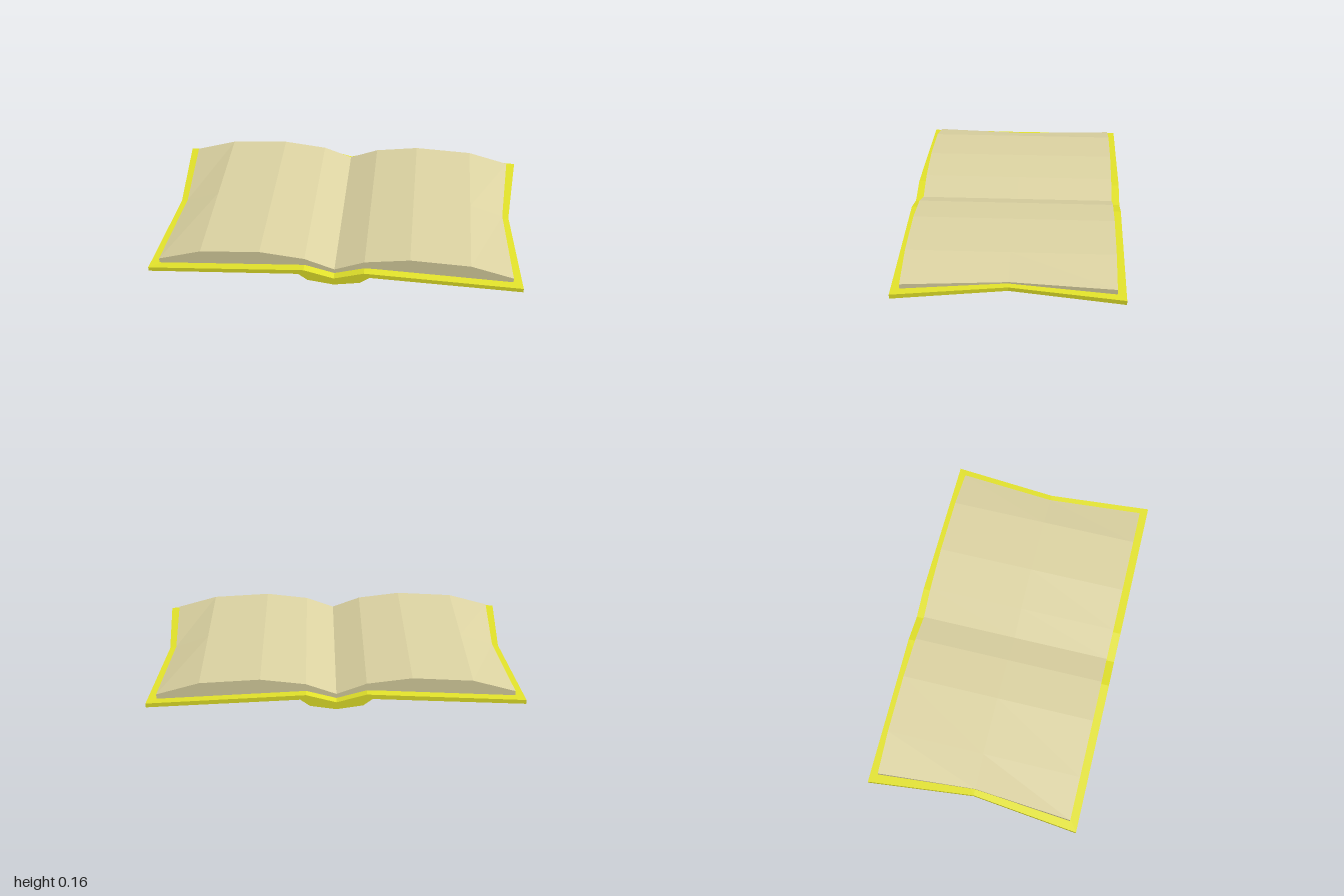
import * as THREE from 'three';

// Mirror a right half-profile (bottom: spine to edge, top: edge to spine) into a closed outline
const outline = (bottom, top) => {
  const half = [...bottom, ...top];
  const mirrored = half.slice(1, -1).reverse().map(([x, y]) => [-x, y]);
  return [...half, ...mirrored];
};

// Skin a row of matching outlines placed along z and cap both ends
function loft(sections, depths) {
  const pos = [];
  const n = sections[0].length;
  const put = (s, i) => pos.push(...sections[s][i % n], depths[s]);
  for (let s = 0; s < sections.length - 1; s++) {
    for (let i = 0; i < n; i++) {
      put(s, i); put(s, i + 1); put(s + 1, i + 1);
      put(s, i); put(s + 1, i + 1); put(s + 1, i);
    }
  }
  const last = sections.length - 1;
  for (const end of [0, last]) {
    const pts = sections[end].map(([x, y]) => new THREE.Vector2(x, y));
    for (const [a, b, c] of THREE.ShapeUtils.triangulateShape(pts, [])) {
      (end === last ? [a, b, c] : [c, b, a]).forEach((i) => put(end, i));
    }
  }
  const geo = new THREE.BufferGeometry();
  geo.setAttribute('position', new THREE.Float32BufferAttribute(pos, 3));
  geo.computeVertexNormals();
  return geo;
}

export function createModel() {
  const group = new THREE.Group();
  const add = (name, color, geo) => {
    const mesh = new THREE.Mesh(geo, new THREE.MeshStandardMaterial({ color, flatShading: true }));
    mesh.name = name;
    group.add(mesh);
  };

  // Cover: bent at the spine, waisted and lifted halfway along its length
  const coverEnd = outline(
    [[0, 0.003], [0.14, 0.025], [0.19, 0.063], [1, 0.025]],
    [[1, 0.048], [0.16, 0.09], [0, 0.045]]);
  const coverMid = outline(
    [[0, 0.036], [0.14, 0.052], [0.19, 0.066], [0.94, 0.05]],
    [[0.94, 0.07], [0.16, 0.09], [0, 0.05]]);
  add('cover', 0xe2e22a, loft([coverEnd, coverMid, coverEnd], [-0.585, 0, 0.585]));

  // Pages: two arched halves meeting in the gutter
  const pages = (edge, low, high) => outline(
    [[0, 0.043], [0.16, 0.087], [edge, low]],
    [[edge, high], [0.72, 0.142], [0.4, 0.16], [0.16, 0.13], [0, 0.07]]);
  const pagesEnd = pages(0.948, 0.048, 0.077);
  add('pages', 0xdcd3a2, loft([pagesEnd, pages(0.905, 0.068, 0.079), pagesEnd], [-0.54, 0, 0.54]));

  return group;
}
